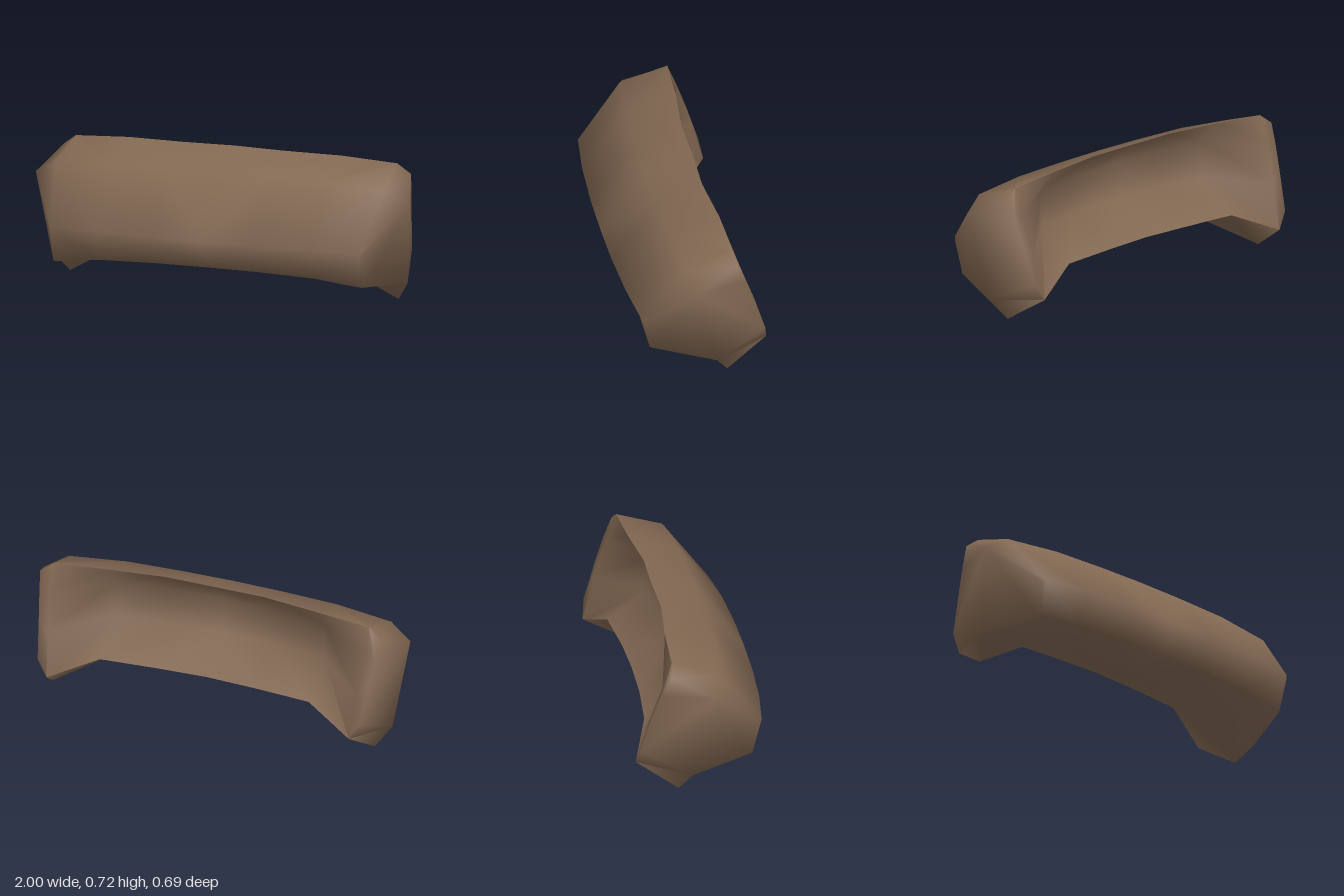
import * as THREE from 'three';
import { toCreasedNormals } from 'three/addons/utils/BufferGeometryUtils.js';

// Half of the bar as rings of [x, y, z], from the middle out to the end.
// Ring order: rear ridge, front ridge, nose, lower front, body underside,
// leg front, lower rear, then two points of the hollow back.
const HALF = [
  [[0, 0.72, -0.13], [0, 0.635, 0.11], [0, 0.33, 0.343], [0, 0.18, 0.265], [0, 0.225, -0.05], [0, 0.225, -0.05],
    [0, 0.255, -0.23], [0, 0.41, -0.025], [0, 0.6, -0.02]],
  [[0.27, 0.717, -0.125], [0.27, 0.633, 0.108], [0.27, 0.33, 0.34], [0.27, 0.178, 0.262], [0.27, 0.22, -0.05], [0.27, 0.22, -0.05],
    [0.27, 0.25, -0.235], [0.27, 0.41, -0.03], [0.27, 0.598, -0.025]],
  [[0.57, 0.71, -0.155], [0.57, 0.628, 0.1], [0.57, 0.33, 0.325], [0.57, 0.168, 0.255], [0.57, 0.18, -0.05], [0.57, 0.18, -0.05],
    [0.57, 0.25, -0.26], [0.57, 0.405, -0.065], [0.57, 0.59, -0.055]],
  // leg tips hang below the ends
  [[0.86, 0.692, -0.168], [0.88, 0.61, 0.07], [0.83, 0.325, 0.295], [0.82, 0.14, 0.25], [0.945, 0.1, -0.07], [0.88, 0, -0.135],
    [0.825, 0.135, -0.345], [0.845, 0.36, -0.285], [0.865, 0.56, -0.215]],
  // outer rim of the end
  [[0.93, 0.64, -0.18], [1, 0.54, 0.035], [0.84, 0.315, 0.285], [0.83, 0.14, 0.24], [0.95, 0.1, -0.075], [0.95, 0.1, -0.075],
    [0.88, 0.22, -0.33], [0.9, 0.42, -0.268], [0.915, 0.54, -0.225]],
];

function barGeometry() {
  const mirrored = HALF.slice(1).reverse().map((ring) => ring.map(([x, y, z]) => [-x, y, z]));
  const rings = [...mirrored, ...HALF];
  const n = HALF[0].length;
  const pos = [];
  const same = (a, b) => a.every((v, i) => v === b[i]);
  // collapsed triangles are left out
  const tri = (a, b, c) => {
    if (!same(a, b) && !same(b, c) && !same(c, a)) pos.push(...a, ...b, ...c);
  };
  const quad = (a, b, c, d) => { tri(a, b, c); tri(a, c, d); };

  // skin between neighbouring rings, with mirrored diagonals
  for (let i = 0; i < rings.length - 1; i++) {
    for (let j = 0; j < n; j++) {
      const k = (j + 1) % n;
      const r = rings[i], s = rings[i + 1];
      if (i < HALF.length - 1) quad(r[j], r[k], s[k], s[j]);
      else quad(r[k], s[k], s[j], r[j]);
    }
  }

  // each end: an angled front cheek and a side strip down the leg,
  // fanned out from the widest corner
  const [left, right] = [rings[rings.length - 1], rings[0]];
  for (let j = 2; j < n; j++) {
    const k = (j + 1) % n;
    tri(left[1], left[j], left[k]);
    tri(right[1], right[k], right[j]);
  }

  const geo = new THREE.BufferGeometry();
  geo.setAttribute('position', new THREE.Float32BufferAttribute(pos, 3));
  return toCreasedNormals(geo, 1.48);
}

export function createModel() {
  const group = new THREE.Group();
  group.name = 'curvedBar';
  const brown = new THREE.MeshStandardMaterial({ color: 0x826852 });
  brown.name = 'brown';
  const bar = new THREE.Mesh(barGeometry(), brown);
  bar.name = 'barWithLegs';
  group.add(bar);
  return group;
}
